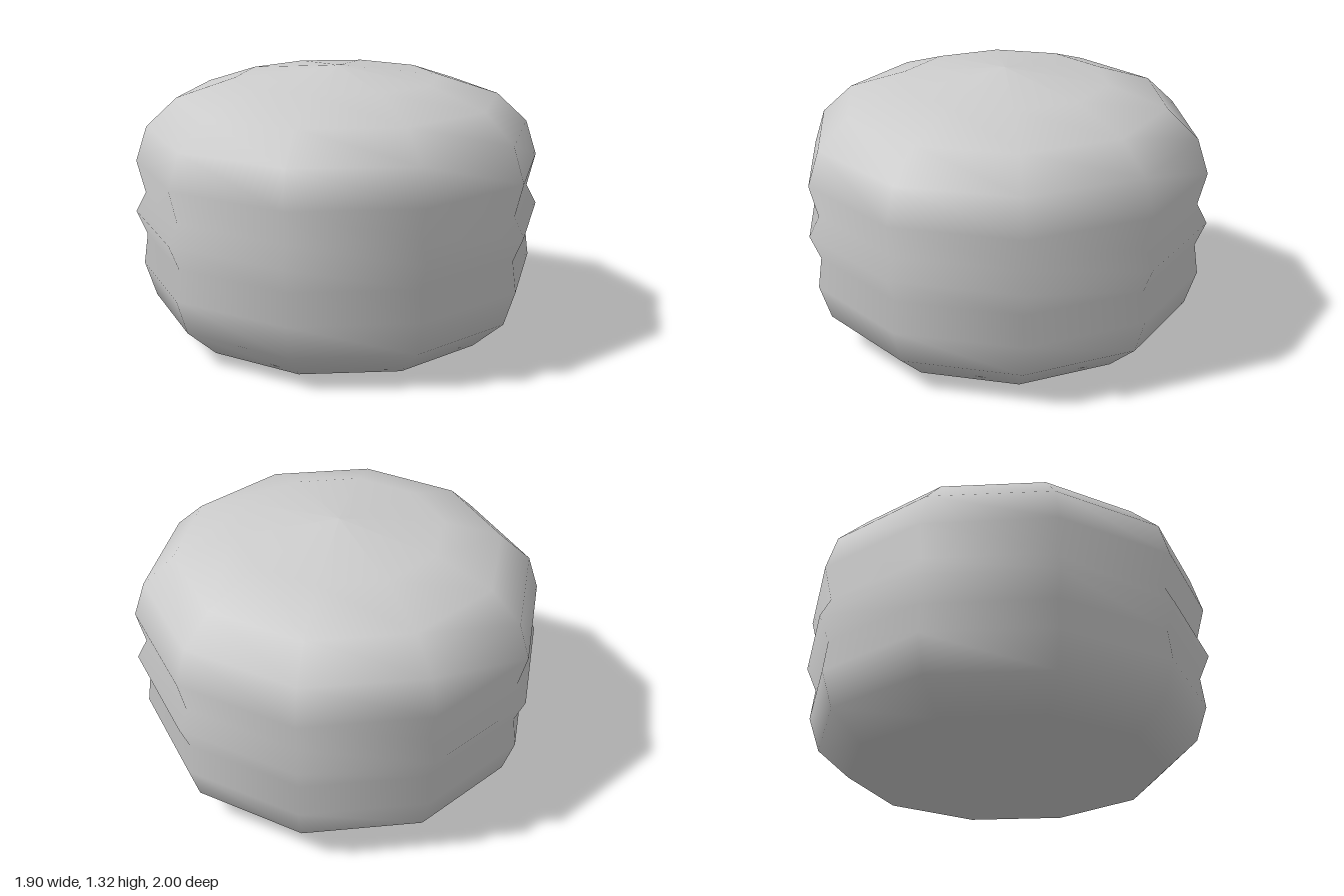
import * as THREE from 'three';

export function createModel() {
  const group = new THREE.Group();
  group.name = 'layeredBun';

  // Half profile, [radius, height], from the base centre to the crown
  const profile = [
    [0, 0], [0.76, 0.025], [0.915, 0.165], // rounded base
    [0.97, 0.335], [0.95, 0.485],          // lower layer
    [1.0, 0.605], [0.95, 0.7],             // filling ridge
    [0.99, 0.86], [0.935, 1.03],           // upper layer
    [0.785, 1.17], [0.5, 1.265], [0, 1.32] // domed crown
  ].map(([r, y]) => new THREE.Vector2(r, y));

  // Ten-sided smooth body with corners on the z axis
  const body = new THREE.Mesh(
    new THREE.LatheGeometry(profile, 10),
    new THREE.MeshStandardMaterial({ color: 0xcccccc })
  );
  body.name = 'bunBody';
  group.add(body);

  return group;
}
